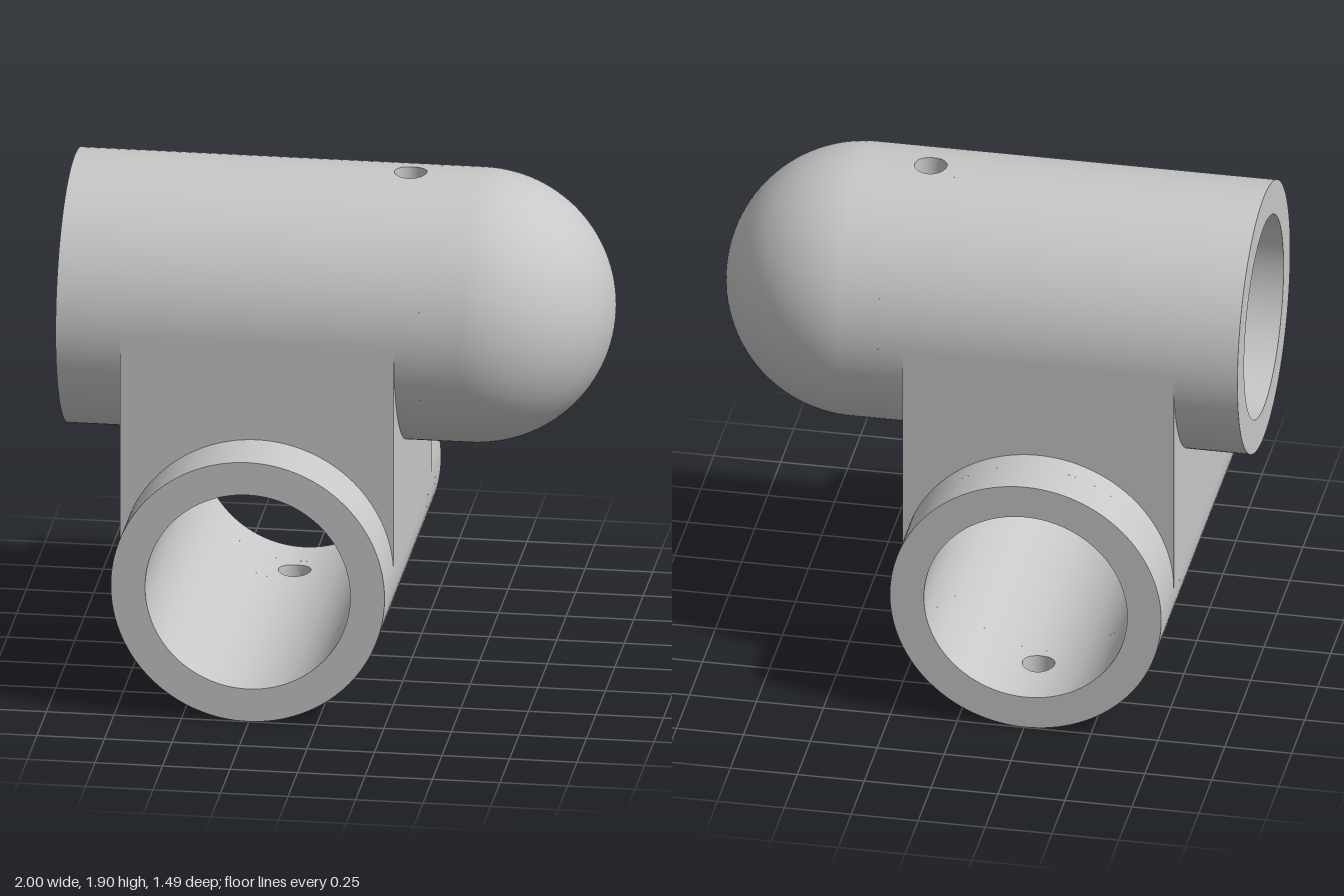
import * as THREE from 'three';
import { mergeGeometries } from 'three/addons/utils/BufferGeometryUtils.js';
import { ParametricGeometry } from 'three/addons/geometries/ParametricGeometry.js';

const R = 0.507;        // outer radius of both sockets
const BORE = 0.38;      // inner radius
const LENGTH = 1.494;   // socket length
const GAP = 0.888;      // height between the two axes
const HOLE = 0.06;      // set-screw hole radius
const HOLE_Y = 0.25;    // hole distance from the socket end
const PATCH = 0.1;      // half size of the square patch round the hole

// Cylindrical skin along +y from y = 0, with a round hole facing +z
function skin(r) {
  const band = (y0, y1, start = 0, sweep = Math.PI * 2) =>
    new THREE.CylinderGeometry(r, r, y1 - y0, 128, 1, true, start, sweep).translate(0, (y0 + y1) / 2, 0);
  const half = Math.asin(PATCH / r);
  const patch = new ParametricGeometry((u, v, p) => {
    const a = v * Math.PI * 2, c = Math.cos(a), s = Math.sin(a);
    const edge = PATCH / Math.max(Math.abs(c), Math.abs(s));
    const d = HOLE + (edge - HOLE) * u;
    p.set(d * c, HOLE_Y + d * s, Math.sqrt(r * r - d * d * c * c));
  }, 4, 64);
  return [
    band(0, HOLE_Y - PATCH),
    band(HOLE_Y - PATCH, HOLE_Y + PATCH, half, Math.PI * 2 - 2 * half),
    band(HOLE_Y + PATCH, LENGTH),
    patch,
  ];
}

// Socket: outer skin, bore, screw hole wall and end rings
function socketGeometry() {
  const holeWall = new ParametricGeometry((u, v, p) => {
    const a = v * Math.PI * 2, x = HOLE * Math.cos(a);
    const outer = Math.sqrt(R * R - x * x), inner = Math.sqrt(BORE * BORE - x * x);
    p.set(x, HOLE_Y + HOLE * Math.sin(a), inner + (outer - inner) * u);
  }, 1, 48);
  const ring = () => new THREE.RingGeometry(BORE, R, 128);
  return mergeGeometries([
    ...skin(R), ...skin(BORE), holeWall,
    ring().rotateX(Math.PI / 2),
    ring().rotateX(-Math.PI / 2).translate(0, LENGTH, 0),
  ]);
}

export function createModel() {
  const model = new THREE.Group();
  model.name = 'crossPipeConnector';
  const grey = new THREE.MeshStandardMaterial({ color: 0xc8c8c8, side: THREE.DoubleSide });
  grey.name = 'grey';

  const add = (parent, name, geometry) => {
    const mesh = new THREE.Mesh(geometry, grey);
    mesh.name = name;
    parent.add(mesh);
    return mesh;
  };
  const socket = socketGeometry();

  // Lower socket runs back to front, screw hole underneath
  const lower = new THREE.Group();
  lower.name = 'lowerSocket';
  lower.position.set(-0.255, R, -LENGTH / 2);
  lower.rotation.x = Math.PI / 2;
  add(lower, 'lowerTube', socket);
  model.add(lower);

  // Upper socket runs from the dome towards -x, screw hole on top
  const upper = new THREE.Group();
  upper.name = 'upperSocket';
  upper.position.set(0.494, R + GAP, 0);
  upper.quaternion.setFromRotationMatrix(new THREE.Matrix4().makeBasis(
    new THREE.Vector3(0, 0, -1), new THREE.Vector3(-1, 0, 0), new THREE.Vector3(0, 1, 0)));
  add(upper, 'upperTube', socket);
  add(upper, 'boreEnd', new THREE.CircleGeometry(BORE, 128).rotateX(-Math.PI / 2));
  add(upper, 'dome', new THREE.SphereGeometry(R, 128, 32, 0, Math.PI * 2, Math.PI / 2, Math.PI / 2));
  model.add(upper);

  // Joining block: four walls, each cut to the socket it meets end-on
  const block = new THREE.Group();
  block.name = 'joiningBlock';
  block.position.set(-0.255, R + GAP / 2, 0);
  const outline = new THREE.Shape();
  outline.moveTo(R, -GAP / 2);
  outline.lineTo(R, GAP / 2);
  outline.lineTo(-R, GAP / 2);
  outline.lineTo(-R, -GAP / 2);
  outline.absarc(0, -GAP / 2, R, Math.PI, 0, true);
  ['frontWall', 'leftWall', 'backWall', 'rightWall'].forEach((name, i) => {
    const wall = new THREE.ShapeGeometry(outline, 64);
    if (i % 2) wall.rotateZ(Math.PI);
    wall.translate(0, 0, R).rotateY(i * Math.PI / 2);
    add(block, name, wall);
  });
  model.add(block);

  return model;
}
